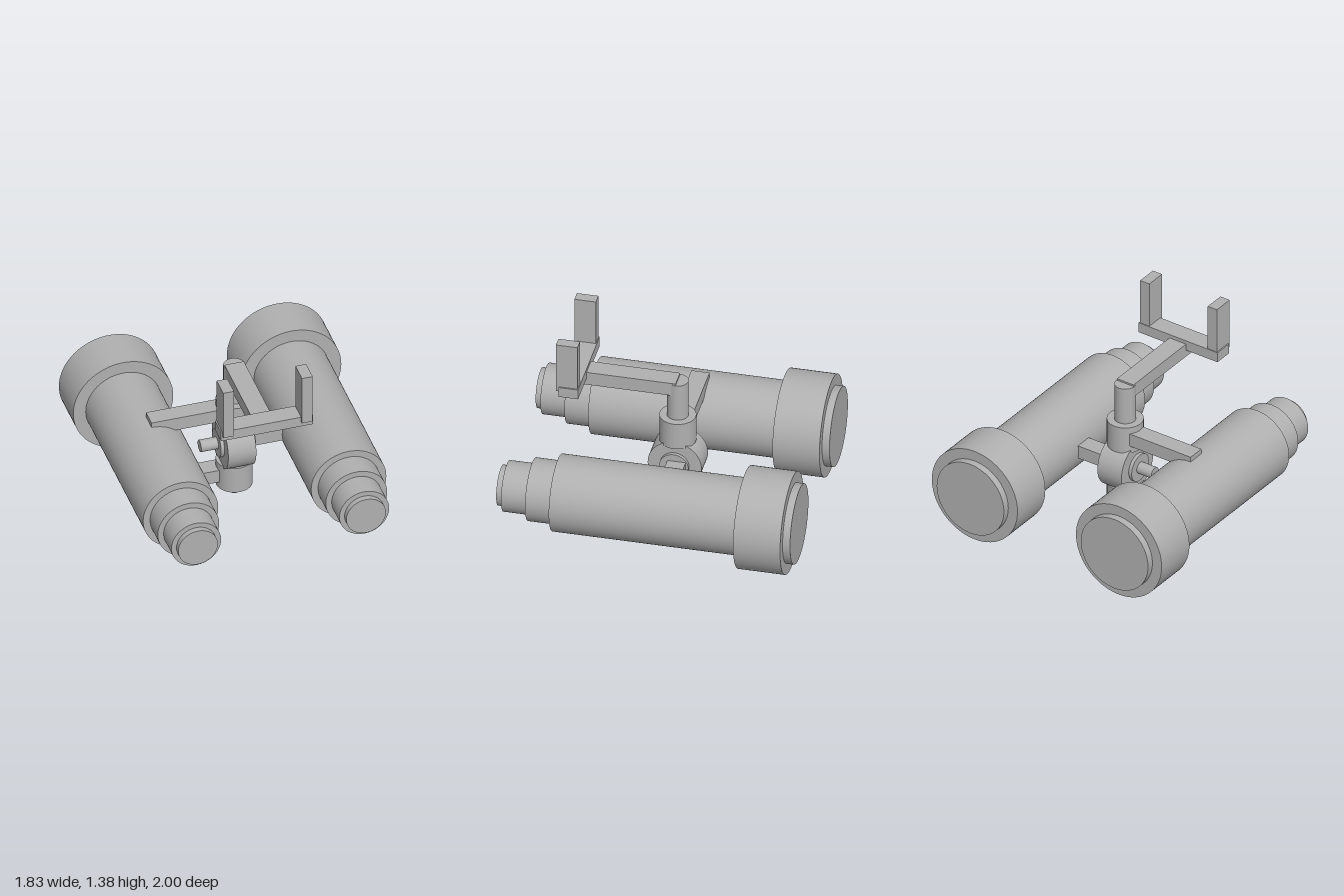
import * as THREE from 'three';

export function createModel() {
  const model = new THREE.Group();
  model.name = 'binoculars';
  const grey = new THREE.MeshStandardMaterial({ color: 0xb0b0b0 });
  grey.name = 'plain grey';
  const hingeZ = -0.055, axisY = 0.397;

  const add = (parent, name, geometry) => {
    const mesh = new THREE.Mesh(geometry, grey);
    mesh.name = name;
    parent.add(mesh);
    return mesh;
  };
  // Box given by its limits on each axis
  const box = (parent, name, [x0, x1], [y0, y1], [z0, z1]) =>
    add(parent, name, new THREE.BoxGeometry(x1 - x0, y1 - y0, z1 - z0))
      .position.set((x0 + x1) / 2, (y0 + y1) / 2, (z0 + z1) / 2);
  // Upright cylinder on the hinge axis
  const post = (parent, name, radius, y0, y1) =>
    add(parent, name, new THREE.CylinderGeometry(radius, radius, y1 - y0, 64))
      .position.set(0, (y0 + y1) / 2, hingeZ);
  // Cylinder across the hinge, along x
  const across = (parent, name, radius, x0, x1) => {
    const mesh = add(parent, name, new THREE.CylinderGeometry(radius, radius, x1 - x0, 64));
    mesh.rotation.z = Math.PI / 2;
    mesh.position.set((x0 + x1) / 2, axisY, hingeZ);
  };

  // Two stepped barrels: name, radius, back z, front z
  const sections = [
    ['objectiveLens', 0.268, -1, -0.95],
    ['objectiveHousing', 0.342, -0.95, -0.635],
    ['tube', 0.257, -0.635, 0.62],
    ['eyepieceBase', 0.21, 0.62, 0.79],
    ['eyepiece', 0.17, 0.79, 0.96],
    ['eyepieceLens', 0.135, 0.96, 1],
  ];
  for (const [side, x] of [['left', 0.573], ['right', -0.577]]) {
    const barrel = new THREE.Group();
    barrel.name = side + 'Barrel';
    barrel.position.set(x, axisY, 0);
    for (const [name, r, z0, z1] of sections) {
      const mesh = add(barrel, name, new THREE.CylinderGeometry(r, r, z1 - z0, 80));
      mesh.rotation.x = Math.PI / 2;
      mesh.position.z = (z0 + z1) / 2;
    }
    model.add(barrel);
  }

  // Central hinge: knuckles, cross drum, clamp discs and pins
  const hinge = new THREE.Group();
  hinge.name = 'hinge';
  model.add(hinge);
  post(hinge, 'bottomPin', 0.052, 0, 0.1);
  post(hinge, 'lowerKnuckle', 0.121, 0.055, 0.25);
  post(hinge, 'upperKnuckle', 0.121, 0.542, 0.738);
  across(hinge, 'crossDrum', 0.18, -0.096, 0.096);
  across(hinge, 'clampDisc', 0.098, -0.12, 0.12);
  across(hinge, 'sidePin', 0.041, -0.237, 0);

  // Arms joining the hinge to the barrels
  const armZ = [-0.135, -0.013];
  box(model, 'upperRightArm', [-0.578, -0.06], [0.595, 0.69], armZ);
  box(model, 'lowerRightArm', [-0.578, -0.06], [0.105, 0.2], armZ);
  box(model, 'leftArm', [0.09, 0.5], [0.349, 0.444], armZ);

  // Raised bracket carried by the hinge
  const bracket = new THREE.Group();
  bracket.name = 'bracket';
  model.add(bracket);
  post(bracket, 'bracketPost', 0.071, 0.7, 1.008);
  box(bracket, 'bracketArm', [-0.066, 0.066], [0.924, 1.02], [-0.055, 0.608]);
  box(bracket, 'crossbar', [-0.317, 0.313], [0.973, 1.046], [0.542, 0.673]);
  box(bracket, 'rightUpright', [-0.308, -0.235], [1.01, 1.375], [0.548, 0.692]);
  box(bracket, 'leftUpright', [0.231, 0.304], [1.01, 1.375], [0.548, 0.692]);

  return model;
}
